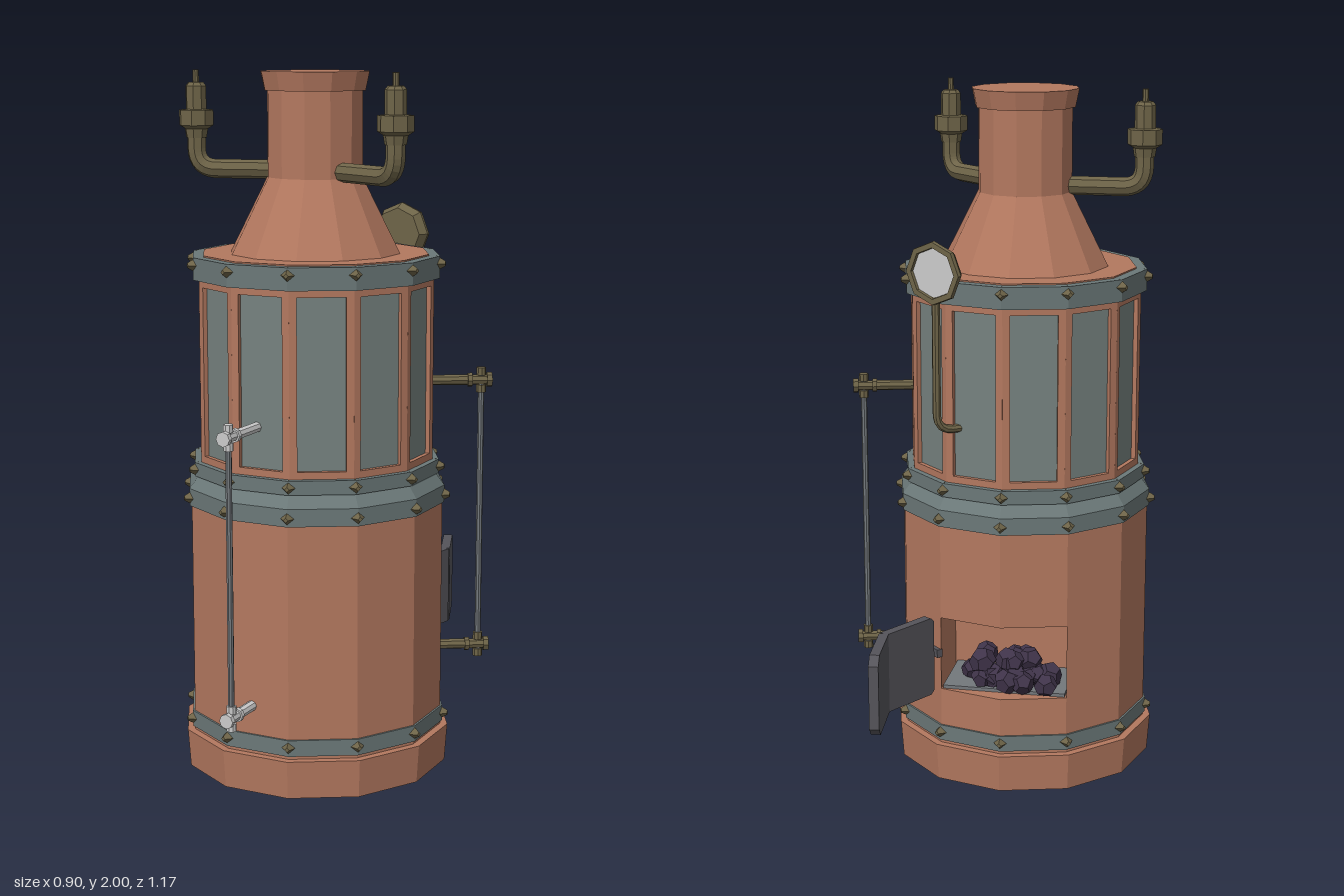
import * as THREE from 'three';

const rad = THREE.MathUtils.degToRad;
const mat = (color) => new THREE.MeshStandardMaterial({ color, flatShading: true });
const copper = mat(0xb3785f), band = mat(0x6b7878), pane = mat(0x76827f), brass = mat(0x6e6448);
const iron = mat(0x55545a), steel = mat(0x73787c), coalMat = mat(0x3f3349), light = mat(0xcccccc);

function add(parent, name, geometry, material) {
  const m = new THREE.Mesh(geometry, material);
  m.name = name;
  parent.add(m);
  return m;
}

// Twelve-sided turned part from [radius, height] pairs
const turned = (pts, sides = 12) =>
  new THREE.LatheGeometry(pts.map(([r, y]) => new THREE.Vector2(r, y)), sides);

// Cylinder along +x, from x0 to x1
const rodX = (r0, r1, x0, x1, sides = 8) =>
  new THREE.CylinderGeometry(r1, r0, x1 - x0, sides).rotateZ(-Math.PI / 2).translate((x0 + x1) / 2, 0, 0);

// Group whose +x points outwards at an angle measured from +x towards +z
function spoke(parent, name, deg) {
  const g = new THREE.Group();
  g.name = name;
  g.rotation.y = -rad(deg);
  parent.add(g);
  return g;
}

// Tube with one rounded corner
function bentTube(a, corner, b, bend, r) {
  const [A, C, B] = [a, corner, b].map((p) => new THREE.Vector3(...p));
  const p = C.clone().add(A.clone().sub(C).setLength(bend));
  const q = C.clone().add(B.clone().sub(C).setLength(bend));
  const path = new THREE.CurvePath();
  path.add(new THREE.LineCurve3(A, p));
  path.add(new THREE.QuadraticBezierCurve3(p, C, q));
  path.add(new THREE.LineCurve3(q, B));
  return new THREE.TubeGeometry(path, 28, r, 8);
}

function buildShell(g) {
  add(g, 'base', turned([[0, 0], [0.385, 0], [0.393, 0.11], [0, 0.115]]), copper);
  add(g, 'lowerBody', turned([[0.371, 0.11], [0.371, 0.28], [0, 0.28]]), copper);
  add(g, 'upperBody', turned([[0, 0.5], [0.371, 0.5], [0.371, 0.79]]), copper);

  // Firebox course: solid ring with a pocket two facets wide at the back
  const outline = [];
  for (let a = 120; a <= 420; a += 30) {
    outline.push(new THREE.Vector2(0.371 * Math.cos(rad(a)), 0.371 * Math.sin(rad(a))));
  }
  outline.push(new THREE.Vector2(0.186, 0.12), new THREE.Vector2(-0.186, 0.12));
  const firebox = new THREE.ExtrudeGeometry(new THREE.Shape(outline), { depth: 0.22, bevelEnabled: false });
  add(g, 'fireboxBody', firebox.rotateX(-Math.PI / 2).translate(0, 0.28, 0), copper);
  const floor = add(g, 'fireboxFloor', new THREE.BoxGeometry(0.36, 0.01, 0.2), steel);
  floor.position.set(0, 0.286, -0.22);

  // Bands
  add(g, 'lowerBand', turned([[0.36, 0.12], [0.377, 0.12], [0.377, 0.167], [0.36, 0.167]]), band);
  add(g, 'middleBand', turned([[0.36, 0.78], [0.377, 0.78], [0.377, 0.83], [0.35, 0.865],
    [0.36, 0.865], [0.36, 0.905], [0.32, 0.905]]), band);
  add(g, 'topBand', turned([[0.32, 1.425], [0.358, 1.425], [0.358, 1.488], [0.31, 1.488]]), band);

  // Roof and chimney
  add(g, 'lid', turned([[0.327, 1.48], [0.327, 1.492], [0, 1.492]]), copper);
  add(g, 'chimney', turned([[0.246, 1.49], [0.137, 1.705], [0.137, 1.95]]), copper);
  add(g, 'chimneyCap', turned([[0.13, 1.945], [0.145, 1.945], [0.156, 1.998], [0, 1.998]]), copper);
}

function buildWindows(g) {
  add(g, 'windowPanes', turned([[0.328, 0.9], [0.328, 1.43]]), pane);
  const w = 0.0885, frame = new THREE.Shape();
  frame.moveTo(-w, 0.9).lineTo(w, 0.9).lineTo(w, 1.43).lineTo(-w, 1.43).closePath();
  const hole = new THREE.Path();
  hole.moveTo(-0.067, 0.925).lineTo(-0.067, 1.405).lineTo(0.067, 1.405).lineTo(0.067, 0.925).closePath();
  frame.holes.push(hole);
  const geo = new THREE.ExtrudeGeometry(frame, { depth: 0.018, bevelEnabled: false });
  geo.translate(0, 0, 0.312).rotateY(Math.PI / 2);
  for (let i = 0; i < 12; i++) add(spoke(g, 'windowFacet', 15 + 30 * i), 'windowFrame', geo, copper);
}

function buildRivets(g) {
  const geo = rodX(0.022, 0.007, -0.008, 0.018, 4);
  for (const [r, y] of [[0.375, 0.145], [0.375, 0.803], [0.358, 0.885], [0.356, 1.467]]) {
    for (let i = 0; i < 12; i++) {
      add(spoke(g, 'rivetSpoke', 30 * i), 'rivet', geo, brass).position.set(r, y, 0);
    }
  }
}

// Upright rail held off the body by two brackets
function buildRail(g, deg, offset, low, high, bracketMat) {
  const s = spoke(g, 'handrail', deg);
  const rod = add(s, 'railRod', new THREE.CylinderGeometry(0.009, 0.009, high - low + 0.07, 8), steel);
  rod.position.set(0.474, (low + high) / 2, offset);
  for (const [y, wall] of [[low, 0.355], [high, 0.31]]) {
    const b = new THREE.Group();
    b.name = 'railBracket';
    b.position.set(0, y, offset);
    s.add(b);
    add(b, 'bracketArm', rodX(0.015, 0.015, wall, 0.5), bracketMat);
    add(b, 'bracketCollar', rodX(0.02, 0.02, 0.435, 0.448), bracketMat);
    add(b, 'bracketEnd', rodX(0.021, 0.021, 0.49, 0.505), bracketMat);
    for (const e of [-0.025, 0.025]) {
      add(b, 'rodCollar', new THREE.CylinderGeometry(0.014, 0.014, 0.022, 8), bracketMat).position.set(0.474, e, 0);
    }
  }
}

// Elbow pipe with a whistle on its end
function buildWhistle(g, deg, reach) {
  const s = spoke(g, 'whistle', deg);
  add(s, 'whistlePipe', bentTube([0.1, 1.723, 0], [reach, 1.723, 0], [reach, 1.84, 0], 0.06, 0.027), brass);
  const head = turned([[0.03, 1.81], [0.034, 1.835], [0.05, 1.845], [0.05, 1.888], [0.03, 1.89], [0.03, 1.955],
    [0.022, 1.965], [0.009, 1.965], [0.009, 2], [0, 2]], 8);
  add(s, 'whistleHead', head, brass).position.x = reach;
}

function buildGauge(g) {
  const s = spoke(g, 'gauge', -68);
  s.position.set(0.19, 1.517, -0.33);
  add(s, 'gaugeCase', rodX(0.075, 0.09, -0.018, 0.006), brass);
  const rim = turned([[0.09, 0.006], [0.088, 0.018], [0.072, 0.018], [0.07, 0.006]], 8);
  add(s, 'gaugeRim', rim.rotateX(Math.PI / 2).rotateY(Math.PI / 2), brass).rotation.x = 0;
  add(s, 'gaugeFace', rodX(0.073, 0.073, 0, 0.009), light);
  add(g, 'gaugePipe', bentTube([0.19, 1.45, -0.33], [0.19, 1.065, -0.33], [0.1, 1.065, -0.26], 0.05, 0.012), brass);
}

// Door folded along one corner, standing open
function buildDoor(g) {
  const door = new THREE.Group();
  door.name = 'fireDoor';
  g.add(door);
  const corners = [[0.213, -0.335], [0.311, -0.495], [0.293, -0.685]];
  for (let i = 0; i < 2; i++) {
    const [x, z] = corners[i], dx = corners[i + 1][0] - x, dz = corners[i + 1][1] - z;
    const len = Math.hypot(dx, dz), h = 0.118, a = i ? 0 : 0.012, b = i ? 0.025 : 0;
    const panel = new THREE.Shape([[0, a - h], [a, -h], [len - b, -h], [len, b - h],
      [len, h - b], [len - b, h], [a, h], [0, h - a]].map((p) => new THREE.Vector2(...p)));
    const geo = new THREE.ExtrudeGeometry(panel, { depth: 0.028, bevelEnabled: false }).translate(0, 0, -0.014);
    const m = add(door, 'doorPanel', geo, iron);
    m.position.set(x, 0.39, z);
    m.rotation.y = -Math.atan2(dz, dx);
  }
  const strap = add(spoke(door, 'hinge', -45), 'hingeStrap', new THREE.BoxGeometry(0.018, 0.024, 0.19), iron);
  strap.position.set(0.362, 0.39, 0);
}

function buildCoal(g) {
  let seed = 7;
  const rnd = () => (seed = (seed * 16807) % 2147483647) / 2147483647;
  const pile = new THREE.Group();
  pile.name = 'coalPile';
  g.add(pile);
  for (let i = 0; i < 20; i++) {
    const layer = i < 13 ? 0 : 1;
    const lump = add(pile, 'coalLump', new THREE.DodecahedronGeometry(0.03 + 0.012 * rnd()), coalMat);
    lump.position.set((rnd() - 0.5) * (layer ? 0.18 : 0.27), 0.315 + layer * 0.045, -0.2 - rnd() * (layer ? 0.09 : 0.125));
    lump.rotation.set(rnd() * 3, rnd() * 3, rnd() * 3);
  }
  add(pile, 'coalLump', new THREE.DodecahedronGeometry(0.035), coalMat).position.set(-0.127, 0.32, -0.335);
}

export function createModel() {
  const model = new THREE.Group();
  model.name = 'boiler';
  const g = new THREE.Group();
  g.name = 'boilerAssembly';
  g.position.set(-0.053, 0, 0.105);
  model.add(g);
  buildShell(g);
  buildWindows(g);
  buildRivets(g);
  buildRail(g, -15, 0.039, 0.335, 1.125, brass);
  buildRail(g, 105, 0.02, 0.25, 1.04, light);
  buildWhistle(g, 180, 0.344);
  buildWhistle(g, 42.5, 0.37);
  buildGauge(g);
  buildDoor(g);
  buildCoal(g);
  return model;
}
